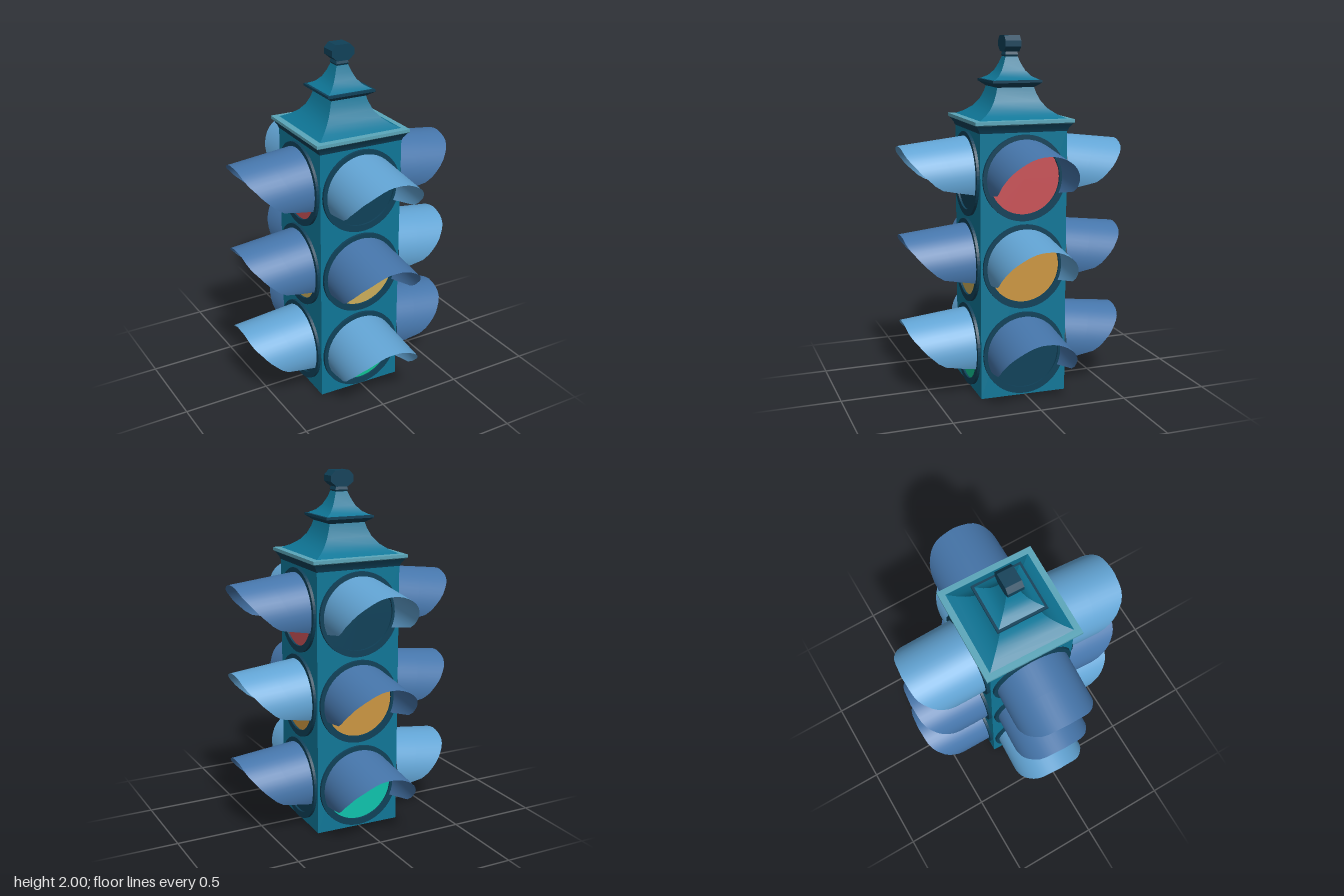
import * as THREE from 'three';
import { toCreasedNormals } from 'three/addons/utils/BufferGeometryUtils.js';

const paint = (name, hex) => {
  const m = new THREE.MeshStandardMaterial({ color: hex });
  m.name = name;
  return m;
};

// Square stack from [half width, height] pairs, listed bottom to top
function squareStack(profile) {
  const points = profile.map(([h, y]) => new THREE.Vector2(h * Math.SQRT2, y));
  return toCreasedNormals(new THREE.LatheGeometry(points, 4, Math.PI / 4), 0.5);
}

// Reach of the hood by angle above the horizontal (degrees, z)
const HOOD_EDGE = [[-25, 0.26], [-7, 0.46], [20, 0.555], [45, 0.615], [60, 0.632], [90, 0.64]];
function hoodReach(deg) {
  const s = Math.min(deg, 180 - deg);
  for (let i = 1; i < HOOD_EDGE.length; i++) {
    const [a0, z0] = HOOD_EDGE[i - 1], [a1, z1] = HOOD_EDGE[i];
    if (s <= a1) return z0 + (z1 - z0) * (s - a0) / (a1 - a0);
  }
  return 0.64;
}

// Open hood: a sloping part-cylinder with a cut-back front edge
function hoodGeometry() {
  const geo = new THREE.PlaneGeometry(1, 1, 28, 2);
  const pos = geo.attributes.position;
  for (let i = 0; i < pos.count; i++) {
    const deg = 205 - 230 * (pos.getX(i) + 0.5);
    const a = THREE.MathUtils.degToRad(deg);
    const z = THREE.MathUtils.lerp(hoodReach(deg), 0.248, pos.getY(i) + 0.5);
    pos.setXYZ(i, 0.215 * Math.cos(a), 0.213 * Math.sin(a) - 0.115 * (z - 0.25), z);
  }
  geo.computeVertexNormals();
  return geo;
}

function ringGeometry() {
  const shape = new THREE.Shape().absarc(0, 0, 0.237, 0, Math.PI * 2);
  shape.holes.push(new THREE.Path().absarc(0, 0, 0.2, 0, Math.PI * 2, true));
  return new THREE.ExtrudeGeometry(shape, { depth: 0.022, bevelEnabled: false, curveSegments: 32 });
}

export function createModel() {
  const teal = paint('teal', 0x0f7798);
  const navy = paint('dark teal', 0x0f4159);
  const rim = paint('pale teal', 0x5aa6ba);
  const sky = paint('light blue', 0x62a4d4);
  const blue = paint('mid blue', 0x4676ab);
  const red = paint('red', 0xc95257);
  const yellow = paint('yellow', 0xccae5a);
  const amber = paint('amber', 0xcc9742);
  const green = paint('green', 0x10c493);
  const mint = paint('blue green', 0x0fc4ad);
  sky.side = blue.side = THREE.DoubleSide;

  const model = new THREE.Group();
  model.name = 'trafficLight';
  const lantern = new THREE.Group();
  lantern.name = 'lantern';
  lantern.rotation.y = -0.03;
  model.add(lantern);

  const add = (parent, name, geo, mat, x = 0, y = 0, z = 0) => {
    const mesh = new THREE.Mesh(geo, mat);
    mesh.name = name;
    mesh.position.set(x, y, z);
    parent.add(mesh);
    return mesh;
  };

  // Housing
  add(lantern, 'housing', new THREE.BoxGeometry(0.496, 1.5, 0.496), teal, 0, 0.75, 0);

  // Four faces, each with three lamps listed from the top
  const faces = [
    { name: 'front', lamps: [navy, yellow, green], hoods: [sky, blue, sky] },
    { name: 'left', lamps: [red, amber, navy], hoods: [blue, sky, blue] },
    { name: 'back', lamps: [navy, amber, mint], hoods: [sky, blue, blue] },
    { name: 'right', lamps: [red, yellow, navy], hoods: [blue, blue, sky] },
  ];
  const heights = [1.242, 0.748, 0.25];
  const ringGeo = ringGeometry();
  const lensGeo = new THREE.CircleGeometry(0.202, 24);
  const hoodGeo = hoodGeometry();
  faces.forEach((face, k) => {
    const side = new THREE.Group();
    side.name = face.name + 'Face';
    side.rotation.y = k * Math.PI / 2;
    lantern.add(side);
    heights.forEach((y, i) => {
      add(side, 'lampRing', ringGeo, navy, 0, y, 0.242);
      add(side, 'lens', lensGeo, face.lamps[i], 0, y - 0.005, 0.253);
      add(side, 'hood', hoodGeo, face.hoods[i], 0, y, 0);
    });
  });

  // Roof: flared eave, pale rim, then two concave tiers
  add(lantern, 'eave', squareStack([[0, 1.49], [0.25, 1.49], [0.255, 1.505], [0.275, 1.535]]), navy);
  add(lantern, 'roofRim', squareStack([[0.275, 1.533], [0.281, 1.538], [0.281, 1.555], [0.248, 1.557], [0, 1.557]]), rim);
  add(lantern, 'lowerRoof', squareStack([
    [0.248, 1.556], [0.205, 1.577], [0.165, 1.607], [0.135, 1.645], [0.115, 1.69], [0.105, 1.725]]), teal);
  add(lantern, 'upperEave', squareStack([[0, 1.72], [0.105, 1.72], [0.143, 1.747], [0.143, 1.76], [0, 1.76]]), navy);
  add(lantern, 'upperRoof', squareStack([
    [0.13, 1.761], [0.095, 1.78], [0.068, 1.81], [0.048, 1.85], [0.035, 1.885], [0, 1.885]]), teal);

  // Finial: small neck and an eight-sided knob
  add(lantern, 'finialNeck', squareStack([[0.03, 1.88], [0.038, 1.895], [0.03, 1.92]]), navy);
  const knob = new THREE.Shape([
    [-0.035, 1.912], [0.035, 1.912], [0.068, 1.94], [0.068, 1.972],
    [0.042, 2], [-0.042, 2], [-0.068, 1.972], [-0.068, 1.94],
  ].map(([x, y]) => new THREE.Vector2(x, y)));
  add(lantern, 'finialKnob', new THREE.ExtrudeGeometry(knob, { depth: 0.09, bevelEnabled: false }), navy, 0, 0, -0.045);

  return model;
}
